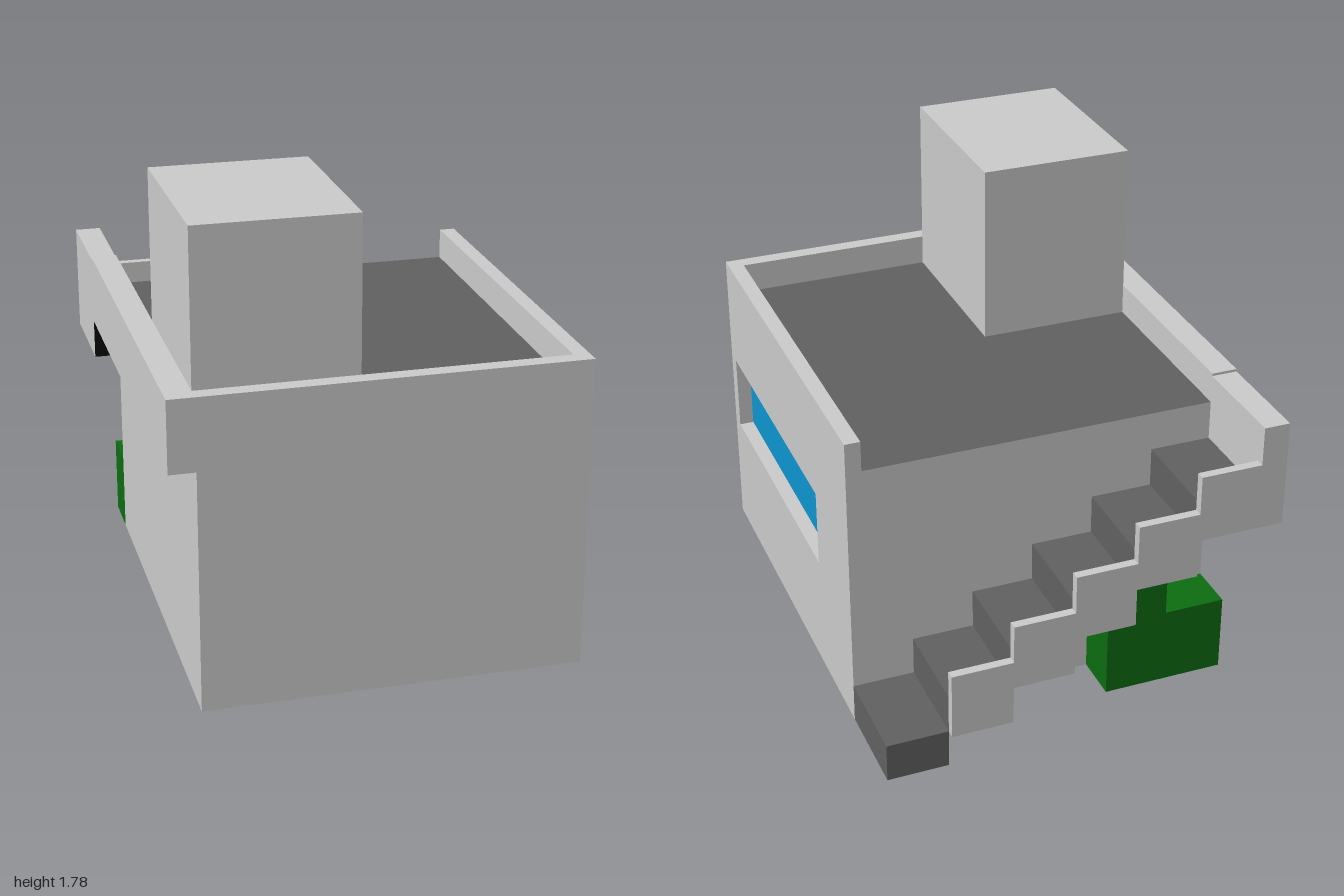
import * as THREE from 'three';

const mat = (name, color) => {
  const m = new THREE.MeshStandardMaterial({ color });
  m.name = name;
  return m;
};

export function createModel() {
  const light = mat('light plaster', 0xc9c9c9);
  const dark = mat('dark floor', 0x606060);
  const black = mat('black underside', 0x0a0a0a);
  const blue = mat('blue glass', 0x0e92cd);
  const green = mat('green hedge', 0x0c6b0f);

  const model = new THREE.Group();
  model.name = 'house';

  // Box given by its limits; material may be a list: +x, -x, +y, -y, +z, -z
  const box = (name, material, [x0, x1], [y0, y1], [z0, z1], parent = model) => {
    const mesh = new THREE.Mesh(new THREE.BoxGeometry(x1 - x0, y1 - y0, z1 - z0), material);
    mesh.position.set((x0 + x1) / 2, (y0 + y1) / 2, (z0 + z1) / 2);
    mesh.name = name;
    parent.add(mesh);
    return mesh;
  };

  const LEFT = -0.765, WALL = -0.665, INNER = 0.705, RIGHT = 0.765;
  const BACK = -0.585, FRONT = 1, TOP = 1.2;
  const RISE = 0.1543, RUN = 0.2385, ROOF = RISE * 7;

  // Main body with dark roof terrace, front wall and overhanging parapet
  box('body', [light, light, dark, black, light, light], [WALL, INNER], [0, ROOF], [BACK, 0.94]);
  box('frontWall', light, [WALL, RIGHT], [0, TOP], [0.94, FRONT]);
  box('overhangingParapet', light, [LEFT, WALL], [RISE * 6, TOP], [BACK, FRONT]);
  box('roofRoom', light, [WALL, -0.07], [ROOF, 1.78], [0.21, 0.94]);

  // Side wall with a window opening (shape x runs towards -z)
  const rect = (Type, x0, x1, y0, y1) =>
    new Type([[x0, y0], [x1, y0], [x1, y1], [x0, y1]].map(p => new THREE.Vector2(...p)));
  const side = rect(THREE.Shape, -0.94, -BACK, 0, TOP);
  side.holes.push(rect(THREE.Path, -0.938, 0.19, 0.463, 0.77));
  const sideWall = new THREE.Mesh(
    new THREE.ExtrudeGeometry(side, { depth: RIGHT - INNER, bevelEnabled: false }), light);
  sideWall.rotation.y = Math.PI / 2;
  sideWall.position.x = INNER;
  sideWall.name = 'sideWall';
  model.add(sideWall);
  box('windowGlass', blue, [INNER - 0.004, INNER + 0.003], [0.463, 0.77], [-0.19, 0.938]);

  // Black underside of the house
  const base = new THREE.Mesh(new THREE.PlaneGeometry(RIGHT - WALL, FRONT - BACK), black);
  base.rotation.x = Math.PI / 2;
  base.position.set((RIGHT + WALL) / 2, -0.001, (FRONT + BACK) / 2);
  base.name = 'baseUnderside';
  model.add(base);
  box('groundCover', dark, [-0.57, -0.5], [-0.002, 0.001], [-0.72, -0.51]);

  // Outside stair: floating steps, each above the first with a guard panel
  const stair = new THREE.Group();
  stair.name = 'stair';
  model.add(stair);
  const stepFaces = [dark, black, dark, black, black, dark];
  for (let i = 0; i < 6; i++) {
    const x1 = RIGHT - i * RUN, x0 = x1 - RUN, y = i * RISE;
    box('step', stepFaces, [x0, x1], [y, y + RISE], [-0.965, BACK], stair);
    if (i > 0) {
      box('stepGuard', [light, light, light, black, light, light],
        [x0, x1], [y, y + RISE + 0.112], [-1, -0.965], stair);
    }
  }
  box('stairEndWall', [light, light, light, black, black, light],
    [LEFT, WALL], [RISE * 5, 1.19], [-1, BACK], stair);

  // Stepped hedge under the stair
  const hedgeFaces = [green, green, green, black, green, green];
  box('lowHedge', hedgeFaces, [WALL, -0.425], [0, RISE * 2], [-0.775, BACK]);
  box('tallHedge', hedgeFaces, [-0.425, -0.185], [0, RISE * 3], [-0.775, BACK]);

  return model;
}
